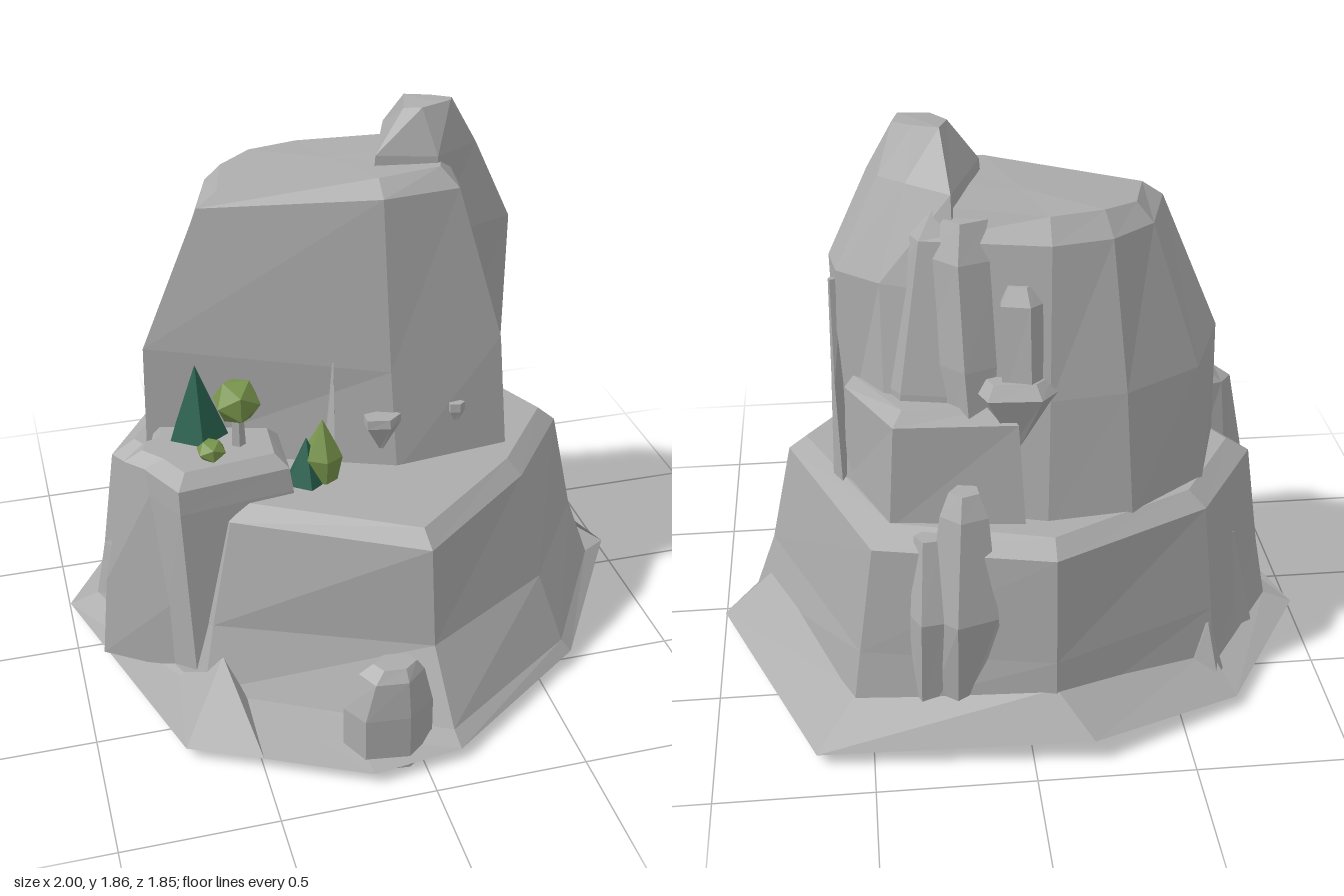
import * as THREE from 'three';

const mat = (name, color) => {
  const m = new THREE.MeshStandardMaterial({ color, flatShading: true, side: THREE.DoubleSide });
  m.name = name;
  return m;
};

export function createModel() {
  const model = new THREE.Group();
  const stone = mat('grey stone', 0xacacac);
  const pine = mat('dark pine green', 0x2a6350);
  const leaf = mat('olive leaf green', 0x78944b);

  const add = (name, geometry, material, x = 0, y = 0, z = 0) => {
    const m = new THREE.Mesh(geometry, material);
    m.name = name;
    m.position.set(x, y, z);
    model.add(m);
    return m;
  };

  // Joins rings [height, [[x, z, optional own height], ...]] from the bottom up.
  // Open strips are left unjoined at their ends and uncapped.
  const loft = (name, rings, { cap = true, closed = true } = {}) => {
    const pos = [];
    const pts = rings.map(([y, ring]) => ring.map(([x, z, h]) => [x, h ?? y, z]));
    const n = pts[0].length;
    const tri = (...v) => v.forEach((p) => pos.push(...p));
    for (let r = 0; r < pts.length - 1; r++) {
      for (let i = 0; i < (closed ? n : n - 1); i++) {
        const j = (i + 1) % n, a = pts[r], b = pts[r + 1];
        tri(a[i], a[j], b[j]);
        tri(a[i], b[j], b[i]);
      }
    }
    if (cap) {
      const top = pts[pts.length - 1];
      const mid = [0, 1, 2].map((k) => top.reduce((s, p) => s + p[k], 0) / n);
      for (let i = 0; i < n; i++) tri(top[i], top[(i + 1) % n], mid);
    }
    const g = new THREE.BufferGeometry();
    g.setAttribute('position', new THREE.Float32BufferAttribute(pos, 3));
    g.computeVertexNormals();
    return add(name, g, stone);
  };

  // Small rock from regular sections [y, centre x, centre z, radius x, radius z].
  const rock = (name, sides, turn, sections) => loft(name, sections.map(([y, cx, cz, rx, rz]) => [y,
    Array.from({ length: sides }, (_, i) => {
      const a = turn + (i / sides) * Math.PI * 2;
      return [cx + Math.sin(a) * rx, cz + Math.cos(a) * rz];
    })]));

  // Sloping foot and broad lower tier, open underneath
  const foot = [[0.11, 0.83], [0.61, 0.49], [0.89, 0.02], [0.56, -0.72], [-0.08, -0.83],
    [-0.63, -0.6], [-0.9, -0.2], [-0.63, 0.44]];
  const waist = [[0.09, 0.67], [0.55, 0.4], [0.815, 0], [0.53, -0.69], [-0.08, -0.81],
    [-0.62, -0.57], [-0.86, -0.19], [-0.58, 0.38]];
  const shrink = (ring, s) => ring.map(([x, z]) => [x * s, z * s]);
  loft('foot skirt', [
    [0.04, [[0.12, 0.88], [0.64, 0.51], [1, -0.08], [0.68, -0.86], [-0.19, -0.93, 0.08],
      [-0.69, -0.71], [-1, -0.21], [-0.73, 0.65]]],
    [0.08, foot],
  ], { cap: false });
  loft('front skirt', [
    [0.04, [[0.12, 0.88], [-0.18, 0.92], [-0.5, 0.76], [-0.73, 0.65], [-0.82, 0.2]]],
    [0.08, [[0.11, 0.82], [-0.2, 0.67], [-0.5, 0.5], [-0.56, 0.42, 0.2], [-0.68, 0.3]]],
  ], { cap: false, closed: false });
  loft('rear skirt', [
    [0.04, [[1, -0.08], [0.68, -0.86], [-0.19, -0.93, 0.08], [-0.69, -0.71]]],
    [0.2, [[0.83, -0.08], [0.54, -0.69, 0.15], [-0.08, -0.81], [-0.62, -0.58, 0.14]]],
  ], { cap: false, closed: false });
  loft('rear undercut', [
    [0.04, [[0.66, -0.83], [-0.18, -0.88], [-0.67, -0.69]]],
    [0.04, [[0.68, -0.86], [-0.19, -0.93, 0.08], [-0.69, -0.71]]],
  ], { cap: false, closed: false });
  loft('lower tier', [
    [0.08, foot],
    [0.3, waist],
    [0.66, [[0.08, 0.65], [0.5, 0.31], [0.74, -0.01], [0.48, -0.66], [-0.08, -0.78],
      [-0.59, -0.53], [-0.81, -0.18], [-0.5, 0.33]]],
    [0.71, [[0.07, 0.59], [0.46, 0.27], [0.68, -0.02], [0.42, -0.59], [-0.08, -0.72],
      [-0.54, -0.49], [-0.73, -0.18], [-0.45, 0.3]]],
  ]);
  loft('underside hollow', [[0.06, shrink(foot, 0.97)], [0.28, shrink(waist, 0.95)], [0.47, shrink(waist, 0.85)]]);

  // Main upper rock with a tilted, bevelled top
  loft('summit block', [
    [0.69, [[0.09, 0.22], [0.49, 0.17], [0.55, -0.2], [0.4, -0.5], [-0.07, -0.63],
      [-0.34, -0.6], [-0.6, -0.41], [-0.7, -0.09]]],
    [1.1, [[0.08, 0.17, 1.04], [0.47, 0.13], [0.53, -0.2], [0.37, -0.48], [-0.08, -0.57],
      [-0.32, -0.54], [-0.57, -0.39], [-0.69, -0.09]]],
    [1.57, [[0.07, 0.1, 1.62], [0.33, 0.07, 1.62], [0.4, -0.18], [0.3, -0.4], [-0.09, -0.48],
      [-0.28, -0.44], [-0.42, -0.33], [-0.49, -0.1]]],
    [1.64, [[0.07, 0.04, 1.67], [0.28, 0.02, 1.68], [0.34, -0.18, 1.68], [0.25, -0.35, 1.66],
      [-0.09, -0.42], [-0.26, -0.38], [-0.37, -0.3, 1.63], [-0.42, -0.11, 1.62]]],
  ]);

  // Tall peak rising behind the summit, with a buttress and a side spike
  loft('back peak', [
    [0.69, [[0.3, -0.05], [0.56, -0.12], [0.57, -0.27], [0.42, -0.5], [0.12, -0.5], [0.05, -0.15]]],
    [1.42, [[0.28, -0.01], [0.57, -0.12], [0.55, -0.25], [0.42, -0.36], [0.2, -0.46], [0.07, -0.08]]],
    [1.7, [[0.28, -0.01], [0.44, -0.11], [0.41, -0.19], [0.33, -0.26], [0.2, -0.37], [0.09, -0.07]]],
    [1.85, [[0.24, -0.06], [0.34, -0.08, 1.86], [0.36, -0.13], [0.3, -0.17], [0.22, -0.2], [0.19, -0.1, 1.84]]],
  ]);
  rock('rear buttress', 5, 0.4, [[0.69, 0.1, -0.44, 0.2, 0.18], [1.2, 0.14, -0.41, 0.17, 0.15],
    [1.52, 0.16, -0.38, 0.13, 0.11], [1.63, 0.16, -0.36, 0.08, 0.07]]);
  loft('side spike', [
    [0.68, [[0.54, -0.1], [0.59, -0.25], [0.56, -0.31], [0.45, -0.22]]],
    [1.05, [[0.54, -0.16], [0.58, -0.23], [0.57, -0.29], [0.45, -0.22]]],
    [1.38, [[0.57, -0.21], [0.575, -0.22], [0.57, -0.23], [0.53, -0.22]]],
  ]);

  // Ledge block and splinters against the back
  loft('rear ledge', [
    [0.69, [[0.2, -0.3], [0.55, -0.28], [0.42, -0.59], [0.0, -0.64]]],
    [1.04, [[0.2, -0.3], [0.54, -0.3], [0.4, -0.58], [0.02, -0.6]]],
    [1.08, [[0.2, -0.3], [0.51, -0.3], [0.37, -0.54], [0.06, -0.55]]],
  ]);
  const splinters = [
    [[0.05, 0.2, -0.71, 0.13, 0.07], [0.45, 0.2, -0.72, 0.12, 0.09], [0.78, 0.19, -0.67, 0.08, 0.06], [0.85, 0.19, -0.65, 0.05, 0.04]],
    [[0.1, 0.31, -0.71, 0.07, 0.06], [0.45, 0.31, -0.73, 0.06, 0.06], [0.7, 0.3, -0.66, 0.05, 0.04]],
    [[0.95, 0.02, -0.55, 0.02, 0.02], [1.13, 0.02, -0.56, 0.14, 0.07], [1.17, 0.02, -0.54, 0.11, 0.05]],
    [[1.1, 0, -0.54, 0.08, 0.06], [1.4, 0, -0.49, 0.08, 0.05], [1.45, 0, -0.47, 0.05, 0.03]],
  ];
  splinters.forEach((s, i) => rock('rear splinter', 5, 0.4 + i, s));
  rock('left rear chip', 4, 0.5, [[0.06, -0.6, -0.62, 0.08, 0.05], [0.25, -0.6, -0.57, 0.02, 0.02]]);
  rock('left chip', 3, 0.5, [[0.1, -0.76, -0.38, 0.05, 0.05], [0.45, -0.73, -0.36, 0.004, 0.004]]);

  // Left terrace that carries the trees, and the slab beside it
  loft('tree terrace', [
    [0.06, [[-0.64, 0.38], [-0.26, 0.32], [-0.26, 0.02], [-0.66, -0.05], [-0.74, 0.2]]],
    [0.72, [[-0.66, 0.34], [-0.28, 0.29], [-0.28, 0.05], [-0.68, -0.05], [-0.74, 0.18]]],
    [0.8, [[-0.66, 0.33], [-0.29, 0.28], [-0.28, 0.06], [-0.68, -0.05], [-0.74, 0.17]]],
    [0.84, [[-0.63, 0.28], [-0.33, 0.24], [-0.32, 0.08], [-0.66, -0.02], [-0.69, 0.16]]],
  ]);
  loft('left slab', [
    [0.06, [[-0.66, 0.3], [-0.62, 0.02], [-0.82, 0.04], [-0.92, 0.12]]],
    [0.35, [[-0.68, 0.28], [-0.65, 0.02], [-0.8, 0.04], [-0.89, 0.11]]],
    [0.8, [[-0.7, 0.21], [-0.65, 0.02], [-0.76, 0.05], [-0.8, 0.1]]],
    [0.84, [[-0.68, 0.18], [-0.65, 0.04], [-0.72, 0.06], [-0.74, 0.11]]],
  ]);

  // Boulder at the foot
  rock('front boulder', 6, 0.35, [[0, -0.1, 0.79, 0.145, 0.09], [0.2, -0.1, 0.79, 0.145, 0.09],
    [0.33, -0.09, 0.79, 0.105, 0.075], [0.365, -0.08, 0.79, 0.07, 0.045]]);

  // Inverted wedges and a sliver on the summit face
  [[0.04, 0.2, 0.066, 0.12], [0.305, 0.18, 0.03, 0.065]].forEach(([x, z, r, h]) =>
    rock('face wedge', 5, 0.3, [[0.9 - h, x, z, 0.01, 0.01], [0.87, x, z, r, r * 0.7], [0.9, x, z, r, r * 0.6]]));
  rock('face sliver', 3, 0.2, [[0.7, -0.12, 0.15, 0.025, 0.04], [1.07, -0.1, 0.11, 0.003, 0.003]]);

  // Trees and bushes
  add('tall pine', new THREE.ConeGeometry(0.1, 0.25, 5), pine, -0.55, 0.985, 0.08);
  add('small pine', new THREE.ConeGeometry(0.075, 0.16, 5), pine, -0.22, 0.79, 0.22);
  add('tree trunk', new THREE.CylinderGeometry(0.02, 0.025, 0.12, 5), stone, -0.43, 0.89, 0.15);
  add('tree crown', new THREE.IcosahedronGeometry(0.082), leaf, -0.43, 1.0, 0.15);
  add('low bush', new THREE.IcosahedronGeometry(0.05), leaf, -0.53, 0.865, 0.21).scale.y = 0.8;
  const profile = [[0, -0.12], [0.05, -0.11], [0.068, -0.02], [0, 0.11]].map(([x, y]) => new THREE.Vector2(x, y));
  add('tall bush', new THREE.LatheGeometry(profile, 6), leaf, -0.165, 0.82, 0.22);

  return model;
}
